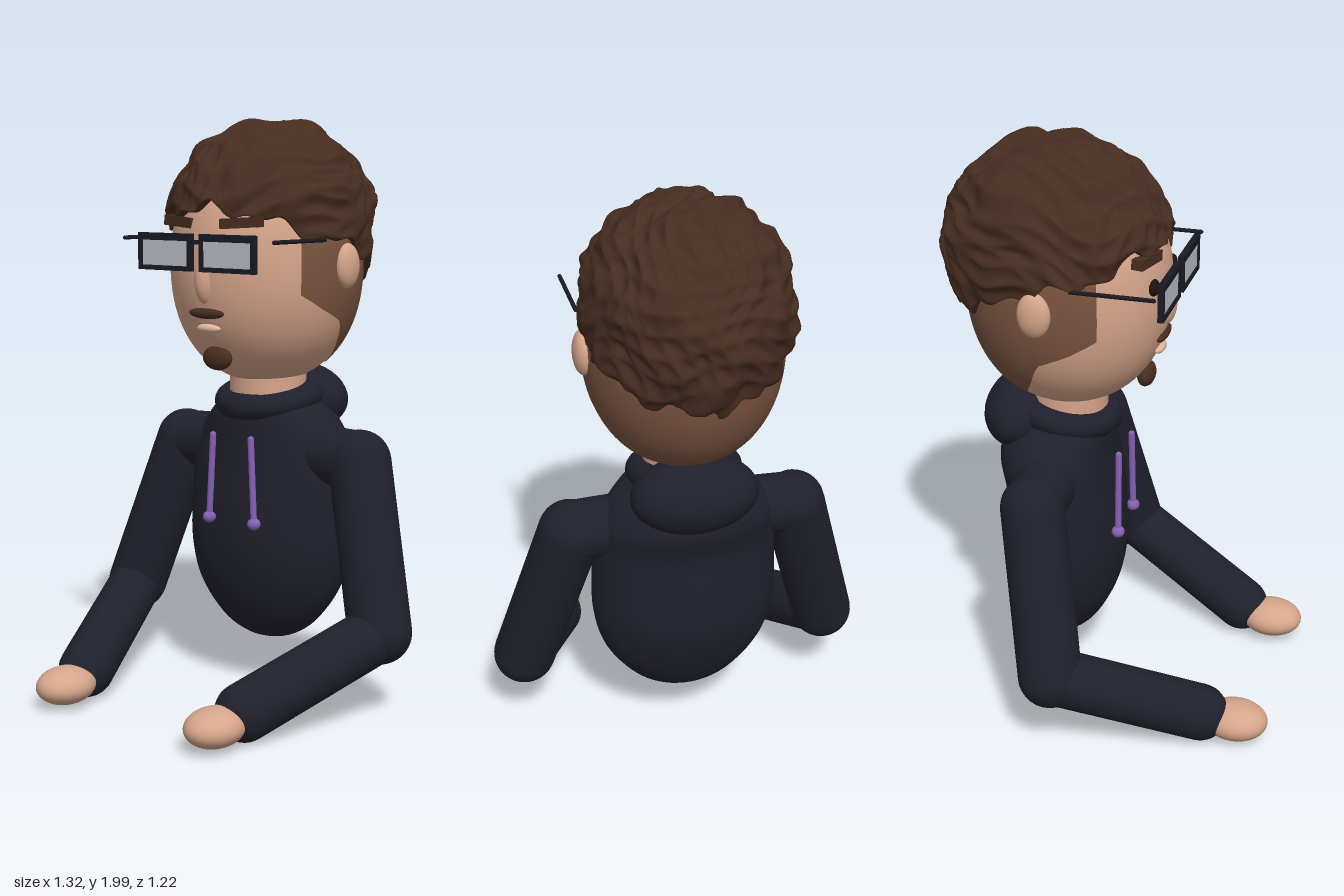
import * as THREE from 'three';

const mat = (name, color, side = THREE.FrontSide) => {
  const m = new THREE.MeshStandardMaterial({ color, side });
  m.name = name;
  return m;
};
const V = (x, y, z) => new THREE.Vector3(x, y, z);
const lerp = THREE.MathUtils.lerp;

// Smooth surface from rows (top to bottom) and columns (around the y axis)
function surface(rows, cols, closed, point) {
  const pos = [], index = [], n = closed ? cols : cols + 1;
  for (let i = 0; i <= rows; i++)
    for (let j = 0; j < n; j++) pos.push(...point(i / rows, j / cols));
  for (let i = 0; i < rows; i++)
    for (let j = 0; j < cols; j++) {
      const k = (j + 1) % n, a = i * n + j, b = i * n + k, c = a + n, d = b + n;
      index.push(a, c, d, a, d, b);
    }
  const g = new THREE.BufferGeometry();
  g.setAttribute('position', new THREE.Float32BufferAttribute(pos, 3));
  g.setIndex(index);
  g.computeVertexNormals();
  return g;
}

// Point on the head for an angle from the front and a height
function headPoint(a, y, grow = 0) {
  const t = Math.min(1, Math.abs((y - 1.5) / 0.415));
  const s = Math.pow(1 - Math.pow(t, 2.2), 1 / 2.2);
  return [(0.325 * s + grow) * Math.sin(a), y, -0.18 + (0.345 * s + grow) * Math.cos(a)];
}

// Piecewise value from [degrees from front, value] pairs, same on both sides
function edge(table, a) {
  let d = THREE.MathUtils.radToDeg(a) % 360;
  if (d > 180) d = 360 - d;
  for (let i = 1; i < table.length; i++) {
    const [d0, v0] = table[i - 1], [d1, v1] = table[i];
    if (d <= d1) return lerp(v0, v1, Math.max(0, (d - d0) / (d1 - d0)));
  }
  return table[table.length - 1][1];
}

// Rounded curls as a sum of warped waves
function curls(x, y, z) {
  const wx = x + 0.03 * Math.sin(19 * y + 7 * z), wy = y + 0.03 * Math.sin(17 * z + 5 * x);
  const wz = z + 0.03 * Math.sin(21 * x + 9 * y);
  const big = Math.sin(27 * wx + 1) * Math.sin(29 * wy) + Math.sin(25 * wz + 2) * Math.sin(23 * wx + 14 * wy);
  const small = Math.sin(52 * wx + 20 * wz) * Math.sin(47 * wy + 13 * wz + 1);
  return 0.011 * big + 0.007 * (1 - 2 * Math.abs(small));
}

export function createModel() {
  const model = new THREE.Group();
  const skin = mat('skin', 0xd6a58b);
  const lipColor = mat('lip', 0xe0b59c);
  const hair = mat('hair', 0x472d20, THREE.DoubleSide);
  const fade = mat('short hair', 0x7a5440, THREE.DoubleSide);
  const cloth = mat('hoodie cloth', 0x20202c);
  const cord = mat('cord', 0x8560b4);
  const frame = mat('glasses frame', 0x1a1a24);
  const glass = mat('lens', 0xbcc1c8);
  const black = mat('eye', 0x1c1210);

  const add = (name, geo, material, p = [0, 0, 0], parent = model) => {
    const m = new THREE.Mesh(geo, material);
    m.name = name;
    m.position.set(...p);
    parent.add(m);
    return m;
  };
  const ball = (name, material, p, r) => {
    const m = add(name, new THREE.SphereGeometry(1, 32, 20), material, p);
    m.scale.set(...r);
    return m;
  };
  const box = (name, material, p, s) => add(name, new THREE.BoxGeometry(...s), material, p);
  const limb = (name, material, a, b, r) => {
    const m = add(name, new THREE.CapsuleGeometry(r, a.distanceTo(b), 10, 28), material);
    m.position.copy(a).lerp(b, 0.5);
    m.quaternion.setFromUnitVectors(V(0, 1, 0), b.clone().sub(a).normalize());
    return m;
  };

  // Head and neck
  add('head', surface(40, 56, true, (u, v) =>
    headPoint(v * Math.PI * 2, 1.5 + 0.415 * Math.cos(u * Math.PI))), skin);
  add('neck', new THREE.CylinderGeometry(0.135, 0.135, 0.25, 32), skin, [0, 1.11, -0.19]);

  // Short hair on the sides and back of the head
  const fadeEdge = [[60, 1.41], [75, 1.36], [94, 1.31], [103, 1.22], [115, 1.16], [180, 1.13]];
  add('shortHair', surface(24, 80, false, (u, v) => {
    const a = THREE.MathUtils.degToRad(lerp(60, 300, v));
    return headPoint(a, lerp(1.7, edge(fadeEdge, a), u), 0.005);
  }), fade);

  // Curly hair cap with an uneven lower edge tucked into the head
  const hairEdge = [[0, 1.7], [35, 1.665], [58, 1.61], [95, 1.56], [130, 1.46], [180, 1.4]];
  add('curlyHair', surface(90, 180, true, (u, v) => {
    const a = v * Math.PI * 2;
    const low = edge(hairEdge, a) + 0.016 * Math.sin(9 * a + 1) + 0.012 * Math.sin(17 * a);
    const t = Math.min(1, u / 0.96) * Math.acos((low - 1.65) / 0.345);
    const s = Math.pow(Math.sin(t), t > Math.PI / 2 ? 0.5 : 1);
    const x = 0.338 * s * Math.sin(a), y = 0.338 * Math.cos(t), z = 0.38 * s * Math.cos(a);
    const k = (1 + curls(x, y, z) / 0.36) * (u > 0.96 ? 1 - 2.5 * (u - 0.96) : 1);
    return [x * k, 1.65 + y * (u > 0.96 ? 1 : k), -0.215 + z * k];
  }), hair);

  // Face
  ball('nose', skin, [0, 1.46, 0.145], [0.036, 0.085, 0.042]);
  ball('moustache', hair, [0, 1.345, 0.142], [0.075, 0.019, 0.02]);
  ball('lips', lipColor, [0, 1.293, 0.13], [0.05, 0.016, 0.02]);
  ball('goatee', hair, [0, 1.19, 0.085], [0.06, 0.042, 0.03]);

  for (const s of [-1, 1]) {
    const side = s > 0 ? 'left' : 'right';
    ball(side + 'Ear', skin, [s * 0.33, 1.5, -0.2], [0.033, 0.076, 0.056]);
    ball(side + 'Eye', black, [s * 0.12, 1.55, 0.138], [0.03, 0.028, 0.018]);
    const brow = box(side + 'Eyebrow', hair, [s * 0.13, 1.647, 0.117], [0.145, 0.034, 0.04]);
    brow.rotation.set(0, s * 0.2, s * 0.06);

    // Glasses: rim bars, lens and temple arm
    const cx = s * 0.135;
    box(side + 'RimTop', frame, [cx, 1.598, 0.193], [0.234, 0.024, 0.02]);
    box(side + 'RimBottom', frame, [cx, 1.494, 0.193], [0.234, 0.016, 0.02]);
    for (const e of [-1, 1])
      box(side + 'RimSide', frame, [cx + e * 0.109, 1.546, 0.193], [0.016, 0.116, 0.02]);
    box(side + 'Lens', glass, [cx, 1.546, 0.193], [0.21, 0.1, 0.008]);
    limb(side + 'Temple', frame, V(s * 0.325, 1.59, 0.19), V(s * 0.325, 1.59, -0.08), 0.007);

    // Sleeve and hand
    const shoulder = V(s * 0.39, 0.84, -0.2), elbow = V(s * 0.55, 0.295, -0.1);
    limb(side + 'Shoulder', cloth, V(s * 0.12, 0.85, -0.2), shoulder, 0.103);
    limb(side + 'UpperArm', cloth, shoulder, elbow, 0.108);
    limb(side + 'Forearm', cloth, elbow, V(s * 0.355, 0.1, 0.375), 0.097);
    ball(side + 'Hand', skin, [s * 0.333, 0.078, 0.495], [0.093, 0.064, 0.112]);

    // Drawstring with a knot
    limb(side + 'Drawstring', cord, V(s * 0.084, 0.91, 0.01), V(s * 0.1, 0.62, 0.012), 0.011);
    ball(side + 'Knot', cord, [s * 0.1, 0.617, 0.012], [0.023, 0.021, 0.023]);
  }
  box('bridge', frame, [0, 1.583, 0.193], [0.06, 0.014, 0.016]);

  // Hoodie body: height, half width, front z, back z
  const stations = [
    [1.05, 0.11, -0.09, -0.3], [1.05, 0.165, -0.045, -0.34], [1.01, 0.195, -0.035, -0.38],
    [0.96, 0.25, -0.035, -0.41], [0.88, 0.3, -0.03, -0.42], [0.78, 0.315, -0.018, -0.4],
    [0.65, 0.32, 0, -0.41], [0.5, 0.318, 0.005, -0.418], [0.36, 0.28, -0.018, -0.385],
    [0.24, 0.192, -0.075, -0.325], [0.18, 0.1, -0.135, -0.265], [0.158, 0.001, -0.199, -0.201],
  ];
  const sides = new THREE.CatmullRomCurve3(stations.map(([y, w]) => V(w, y, 0)), false, 'catmullrom');
  const depths = new THREE.CatmullRomCurve3(stations.map(([, , f, b]) => V(f, b, 0)), false, 'catmullrom');
  add('hoodieBody', surface(55, 56, true, (u, v) => {
    const a = v * Math.PI * 2, p = sides.getPoint(u), d = depths.getPoint(u);
    return [p.x * Math.sin(a), p.y, (d.x + d.y) / 2 + (d.x - d.y) / 2 * Math.cos(a)];
  }), cloth);

  // Collar roll and hood hanging behind the neck
  const collar = add('collar', new THREE.TorusGeometry(0.15, 0.045, 16, 48), cloth, [0, 1.035, -0.2]);
  collar.rotation.x = Math.PI / 2 + 0.2;
  ball('hood', cloth, [0, 1.015, -0.345], [0.215, 0.13, 0.137]);
  return model;
}
